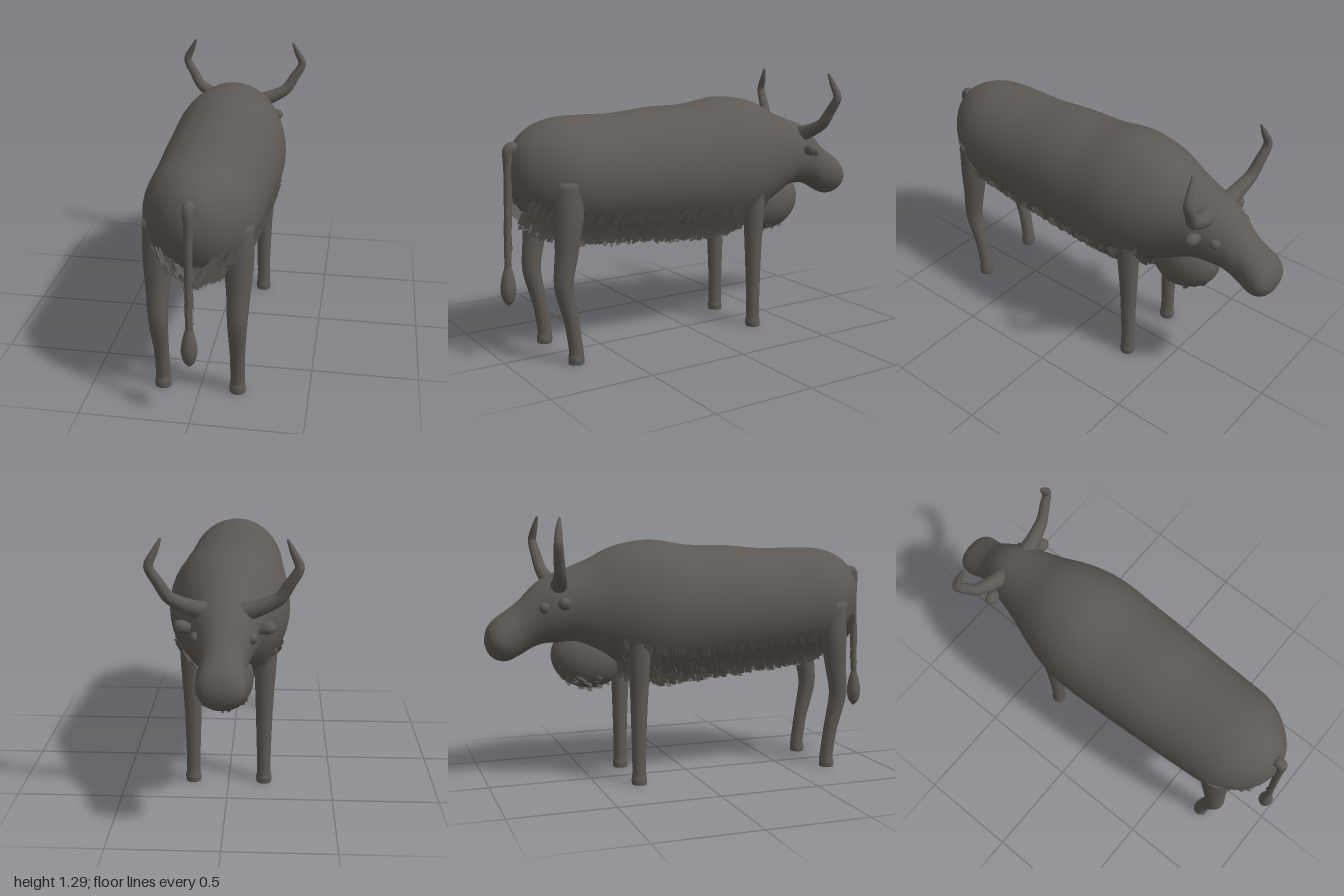
import * as THREE from 'three';

const hide = new THREE.MeshStandardMaterial({ color: 0x5d5853 });
hide.name = 'dark hide';
const hair = new THREE.MeshStandardMaterial({ color: 0x5d5853, side: THREE.DoubleSide });
hair.name = 'dark hair';

let seed = 7;
const rnd = () => (seed = (seed * 16807) % 2147483647) / 2147483647;
const V = (x, y, z) => new THREE.Vector3(x, y, z);

// Skin over a list of equal rings, closed by a point at each end.
function loft(rings) {
  const n = rings[0].length, pos = [], idx = [];
  rings.forEach(r => r.forEach(p => pos.push(p.x, p.y, p.z)));
  for (let i = 0; i < rings.length - 1; i++) {
    for (let j = 0; j < n; j++) {
      const a = i * n + j, b = i * n + (j + 1) % n;
      idx.push(a, a + n, b, b, a + n, b + n);
    }
  }
  [0, rings.length - 1].forEach((i, end) => {
    const c = rings[i].reduce((s, p) => s.add(p), V(0, 0, 0)).divideScalar(n);
    const k = pos.length / 3;
    pos.push(c.x, c.y, c.z);
    for (let j = 0; j < n; j++) {
      const a = i * n + j, b = i * n + (j + 1) % n;
      if (end) idx.push(k, b, a); else idx.push(k, a, b);
    }
  });
  const g = new THREE.BufferGeometry();
  g.setAttribute('position', new THREE.Float32BufferAttribute(pos, 3));
  g.setIndex(idx);
  g.computeVertexNormals();
  return g;
}

// Round limb through points [x, y, z, radius].
function limb(pts, ref, sides = 14, steps = 5) {
  const path = new THREE.CatmullRomCurve3(pts.map(p => V(p[0], p[1], p[2])), false, 'catmullrom', 0.4);
  const size = new THREE.CatmullRomCurve3(pts.map(p => V(p[3], 0, 0)), false, 'catmullrom', 0.4);
  const rings = [], m = (pts.length - 1) * steps;
  for (let i = 0; i <= m; i++) {
    const t = path.getTangent(i / m), c = path.getPoint(i / m), r = size.getPoint(i / m).x;
    const u = ref.clone().cross(t).normalize(), v = u.clone().cross(t);
    rings.push(Array.from({ length: sides }, (_, j) => {
      const a = j / sides * Math.PI * 2;
      return c.clone().addScaledVector(u, r * Math.cos(a)).addScaledVector(v, r * Math.sin(a));
    }));
  }
  return loft(rings);
}

// Body stations: z, top, bottom, half width.
const stations = [
  [0.94, 0.92, 0.84, 0.03], [0.92, 0.99, 0.77, 0.09], [0.88, 1.05, 0.70, 0.145], [0.8, 1.1, 0.64, 0.21],
  [0.7, 1.125, 0.60, 0.25], [0.55, 1.128, 0.575, 0.262], [0.4, 1.127, 0.56, 0.27], [0.2, 1.145, 0.54, 0.28],
  [0.0, 1.15, 0.525, 0.288], [-0.17, 1.176, 0.515, 0.289], [-0.3, 1.166, 0.54, 0.268], [-0.4, 1.138, 0.58, 0.237],
  [-0.5, 1.088, 0.63, 0.2], [-0.6, 1.048, 0.68, 0.168], [-0.7, 1.012, 0.69, 0.142], [-0.77, 0.965, 0.675, 0.115],
  [-0.84, 0.895, 0.637, 0.1], [-0.9, 0.85, 0.612, 0.106], [-0.95, 0.815, 0.62, 0.105], [-0.985, 0.775, 0.65, 0.078],
  [-1.0, 0.73, 0.69, 0.03]];
const upper = new THREE.CatmullRomCurve3(stations.map(s => V(s[3], s[1], s[0])), false, 'catmullrom', 0.5);
const lower = new THREE.CatmullRomCurve3(stations.map(s => V(0, s[2], s[0])), false, 'catmullrom', 0.5);

function bodyPoint(u, a) {
  const p = upper.getPoint(u), q = lower.getPoint(u);
  return V(p.x * Math.cos(a), (p.y + q.y) / 2 + (p.y - q.y) / 2 * Math.sin(a), p.z);
}
function stationAt(z) {
  let lo = 0, hi = 1;
  for (let i = 0; i < 22; i++) {
    const mid = (lo + hi) / 2;
    if (upper.getPoint(mid).z > z) lo = mid; else hi = mid;
  }
  return lo;
}

// Flat locks of hair, each {root, across, fall}.
function hairCards(locks) {
  const pos = [], idx = [];
  locks.forEach(({ root, across, fall }) => {
    const k = pos.length / 3;
    [[-1, 0], [1, 0], [-0.75, 1], [0.75, 1]].forEach(([s, t]) => {
      const p = root.clone().addScaledVector(across, s).addScaledVector(fall, t);
      pos.push(p.x, p.y, p.z);
    });
    idx.push(k, k + 2, k + 1, k + 1, k + 2, k + 3);
  });
  const g = new THREE.BufferGeometry();
  g.setAttribute('position', new THREE.Float32BufferAttribute(pos, 3));
  g.setIndex(idx);
  g.computeVertexNormals();
  return g;
}

export function createModel() {
  seed = 7;
  const model = new THREE.Group();
  model.name = 'shaggyOx';
  const add = (name, geo, mat = hide) => {
    const m = new THREE.Mesh(geo, mat);
    m.name = name;
    model.add(m);
    return m;
  };

  // Trunk, neck and head in one skin
  const rings = [];
  for (let i = 0; i <= 100; i++) {
    rings.push(Array.from({ length: 40 }, (_, j) => bodyPoint(i / 100, j / 40 * Math.PI * 2)));
  }
  add('bodyAndHead', loft(rings));

  // Hanging chest
  const chest = add('brisket', new THREE.SphereGeometry(1, 28, 20));
  chest.scale.set(0.125, 0.15, 0.18);
  chest.position.set(0, 0.612, -0.51);
  chest.rotation.x = 0.25;

  // Paired parts
  const alongZ = V(0, 0, 1);
  [['left', 1], ['right', -1]].forEach(([side, s]) => {
    const pair = (name, pts, sides) => add(side + name, limb(pts.map(p => [p[0] * s, p[1], p[2], p[3]]), alongZ, sides));
    pair('FrontLeg', [[0.165, 0.82, -0.29, 0.07], [0.175, 0.62, -0.295, 0.054], [0.172, 0.4, -0.298, 0.042],
      [0.172, 0.15, -0.3, 0.034], [0.173, 0.05, -0.3, 0.034], [0.173, 0.025, -0.3, 0.038], [0.173, 0, -0.3, 0.036]]);
    pair('RearLeg', [[0.165, 0.85, 0.73, 0.08], [0.178, 0.68, 0.74, 0.068], [0.18, 0.53, 0.755, 0.054],
      [0.178, 0.38, 0.772, 0.045], [0.175, 0.2, 0.735, 0.035], [0.174, 0.06, 0.715, 0.034],
      [0.174, 0.025, 0.716, 0.038], [0.174, 0, 0.716, 0.037]]);
    pair('Horn', [[0.07, 0.96, -0.66, 0.045], [0.15, 0.985, -0.67, 0.037], [0.235, 1.03, -0.685, 0.029],
      [0.28, 1.1, -0.698, 0.025], [0.318, 1.17, -0.708, 0.021], [0.29, 1.235, -0.7, 0.015], [0.266, 1.287, -0.69, 0.005]], 10);
    pair('Ear', [[0.1, 0.88, -0.66, 0.018], [0.15, 0.885, -0.657, 0.022], [0.185, 0.892, -0.655, 0.031],
      [0.21, 0.896, -0.653, 0.024], [0.222, 0.898, -0.652, 0.006]], 12);
    const eye = add(side + 'Eye', new THREE.SphereGeometry(0.027, 14, 10));
    eye.position.set(0.118 * s, 0.868, -0.735);
  });

  // Tail and its tuft
  add('tail', limb([[0, 0.95, 0.89, 0.03], [0, 1.0, 0.92, 0.026], [0, 0.985, 0.945, 0.025], [0, 0.9, 0.948, 0.02],
    [0, 0.7, 0.955, 0.018], [0, 0.44, 0.965, 0.015]], V(1, 0, 0), 12));
  add('tailTuft', limb([[0, 0.46, 0.964, 0.014], [0, 0.41, 0.965, 0.028], [0, 0.35, 0.966, 0.036],
    [0, 0.3, 0.966, 0.026], [0, 0.275, 0.966, 0.006]], V(1, 0, 0), 14));

  // Shaggy fringe below the belly and flanks
  const locks = [];
  for (let z = -0.4; z < 0.88; z += 0.03) {
    for (let k = 0; k < 30; k++) {
      const a = -Math.PI * (0.15 + 0.7 * (k + rnd()) / 30);
      const u = stationAt(z + rnd() * 0.03);
      const root = bodyPoint(u, a), next = bodyPoint(u, a + 0.05);
      const along = next.sub(root).normalize().multiplyScalar(Math.cos(a) > 0 ? -1 : 1);
      const n = V(Math.cos(a), Math.sin(a), 0);
      const len = 0.05 + rnd() * 0.03;
      const low = Math.max(0, -Math.sin(a) - 0.6) * 2;
      const fall = along.multiplyScalar(1 - low * 0.8).add(V(0, -low, 0.1 + rnd() * 0.35)).normalize().multiplyScalar(len);
      const across = V(-0.25 * Math.sin(a) * (rnd() - 0.5), 0, 1).normalize().multiplyScalar(0.009 + rnd() * 0.01);
      if (k % 4 === 0) across.set(0.014, 0, 0.006);
      locks.push({ root: root.addScaledVector(n, 0.004), across, fall });
    }
  }
  add('bellyFringe', hairCards(locks), hair);

  // Short locks on the brisket, rump and tail
  const tufts = [];
  for (let i = 0; i < 70; i++) {
    const a = rnd() * Math.PI * 2, r = Math.sqrt(rnd()) * 0.85;
    const y = 0.612 - 0.147 * Math.sqrt(1 - r * r);
    tufts.push({ root: V(0.12 * r * Math.cos(a), y + 0.005, -0.51 + 0.165 * r * Math.sin(a)),
      across: V(0.006, 0, 0.012), fall: V(0, -0.025 * rnd() - 0.005, 0.015) });
  }
  for (let i = 0; i < 40; i++) {
    const root = bodyPoint(stationAt(0.82 + rnd() * 0.08), -Math.PI * (0.2 + 0.6 * rnd()));
    tufts.push({ root, across: V(0.015, 0, 0), fall: V(0, -0.05 - rnd() * 0.02, 0.008) });
  }
  for (let i = 0; i < 26; i++) {
    const y = 0.48 + rnd() * 0.3, a = rnd() * Math.PI * 2;
    tufts.push({ root: V(0.017 * Math.cos(a), y, 0.96 + 0.017 * Math.sin(a)),
      across: V(0.005 * Math.sin(a), 0, -0.005 * Math.cos(a)), fall: V(0.004 * Math.cos(a), -0.045, 0.004 * Math.sin(a)) });
  }
  add('shortLocks', hairCards(tufts), hair);
  return model;
}
